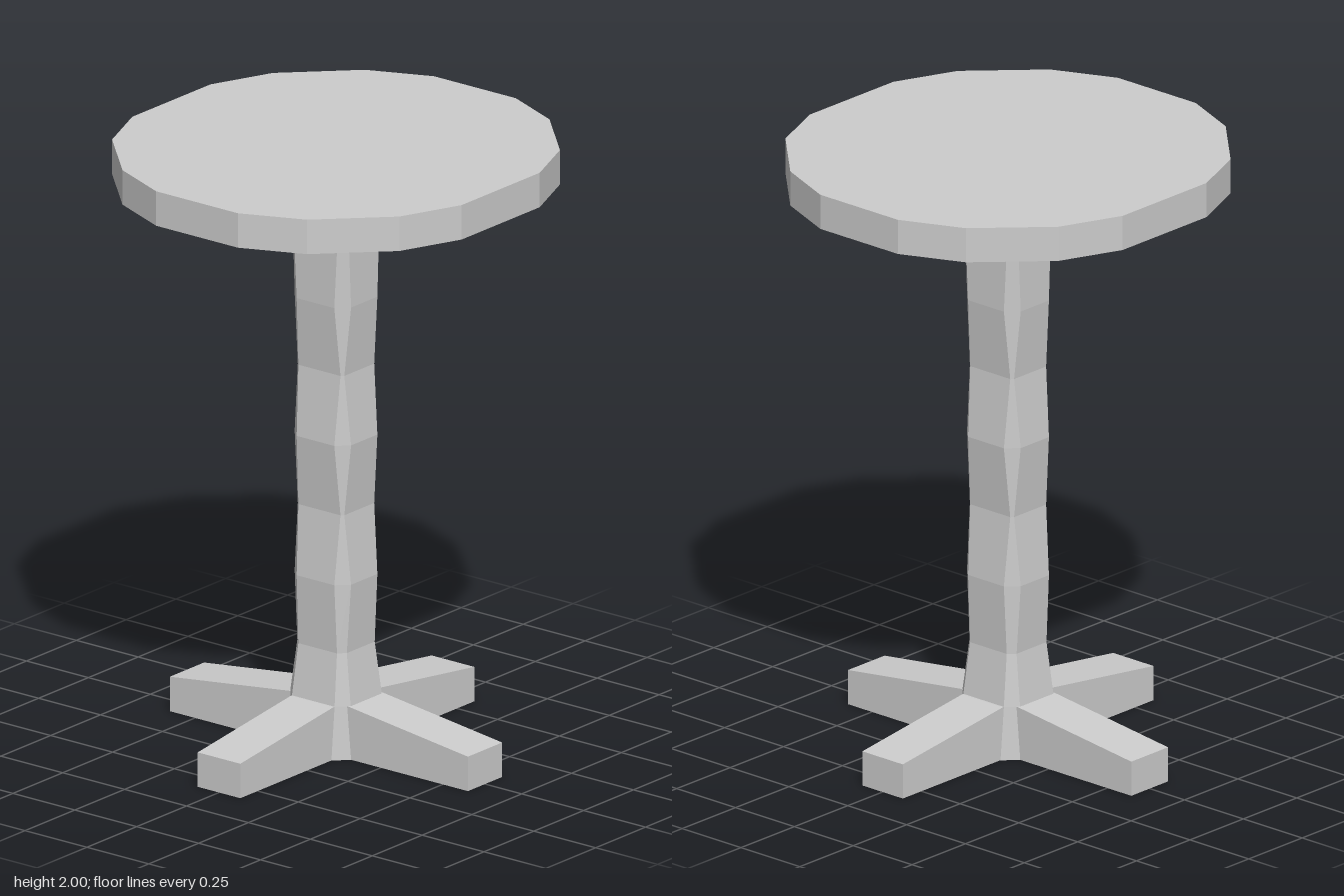
import * as THREE from 'three';

// Chamfered rectangle: half sizes hx, hz and half widths ax, az of its flat sides
function ring([y, hx, ax, hz, az]) {
  return [
    [ax, hz], [hx, az], [hx, -az], [ax, -hz],
    [-ax, -hz], [-hx, -az], [-hx, az], [-ax, hz],
  ].map(([x, z]) => [x, y, z]);
}

// Skin through a stack of rings, from bottom to top, with optional bottom cap
function loft(sections, capBottom) {
  const n = 8;
  const positions = sections.flatMap((s) => ring(s).flat());
  const index = [];
  for (let r = 0; r < sections.length - 1; r++) {
    for (let i = 0; i < n; i++) {
      const a = r * n + i;
      const b = r * n + ((i + 1) % n);
      index.push(a, b, b + n, a, b + n, a + n);
    }
  }
  if (capBottom) for (let i = 1; i < n - 1; i++) index.push(0, i + 1, i);
  const geometry = new THREE.BufferGeometry();
  geometry.setAttribute('position', new THREE.Float32BufferAttribute(positions, 3));
  geometry.setIndex(index);
  return geometry;
}

function flat(geometry) {
  const result = geometry.index ? geometry.toNonIndexed() : geometry;
  result.computeVertexNormals();
  return result;
}

export function createModel() {
  const model = new THREE.Group();
  model.name = 'pedestalTable';
  const grey = new THREE.MeshStandardMaterial({ color: 0xcccccc });
  grey.name = 'grey';

  function add(name, geometry) {
    const mesh = new THREE.Mesh(geometry, grey);
    mesh.name = name;
    model.add(mesh);
    return mesh;
  }

  // Sixteen-sided table top
  const quarter = [[0.665, 0.196], [0.58, 0.403], [0.373, 0.608], [0.165, 0.697]];
  const back = [...quarter].reverse().map(([x, z]) => [-x, z]);
  const half = [...quarter, ...back];
  const outline = [...half, ...half.map(([x, z]) => [-x, -z])];
  const topShape = new THREE.Shape(outline.map(([x, z]) => new THREE.Vector2(x, z)));
  const top = new THREE.ExtrudeGeometry(topShape, { depth: 0.115, bevelEnabled: false });
  top.rotateX(-Math.PI / 2).translate(0, 1.885, 0);
  add('tableTop', flat(top));

  // Smooth flare between column and top
  const columnTop = [1.725, 0.113, 0.088, 0.102, 0.076];
  const flare = loft([columnTop, [1.885, 0.287, 0.09, 0.258, 0.08]], false);
  flare.computeVertexNormals();
  add('flare', flare);

  // Faceted column whose chamfers swell and pinch
  add('column', flat(loft([
    [0, 0.134, 0.087, 0.131, 0.082],
    [0.175, 0.122, 0.086, 0.114, 0.078],
    [0.345, 0.1, 0.078, 0.092, 0.07],
    [0.575, 0.114, 0.076, 0.103, 0.066],
    [0.805, 0.094, 0.085, 0.083, 0.075],
    [1.04, 0.114, 0.076, 0.103, 0.066],
    [1.27, 0.094, 0.085, 0.083, 0.075],
    [1.5, 0.114, 0.076, 0.103, 0.066],
    columnTop,
  ], true)));

  // Four tapering feet in a cross
  const names = ['leftFoot', 'backFoot', 'rightFoot', 'frontFoot'];
  names.forEach((name, i) => {
    const reach = i % 2 ? 0.587 : 0.602;
    const profile = new THREE.Shape([
      [0.08, 0], [reach, 0], [reach, 0.115], [0.12, 0.175], [0.08, 0.175],
    ].map(([x, y]) => new THREE.Vector2(x, y)));
    const foot = new THREE.ExtrudeGeometry(profile, { depth: 0.172, bevelEnabled: false });
    foot.translate(0, 0, -0.086);
    add(name, flat(foot)).rotation.y = (i * Math.PI) / 2;
  });

  return model;
}
